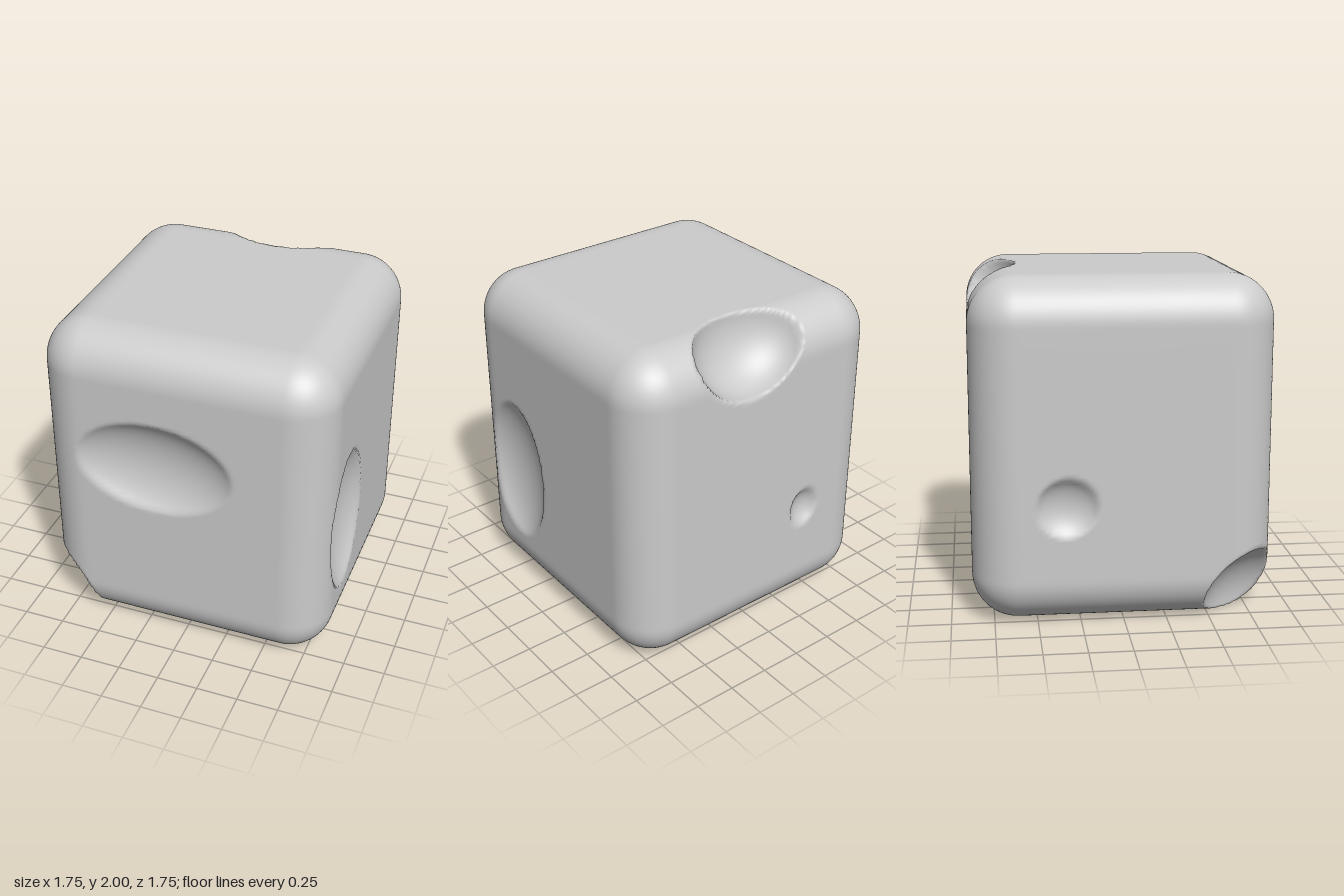
import * as THREE from 'three';
import { mergeVertices } from 'three/addons/utils/BufferGeometryUtils.js';

const HALF = new THREE.Vector3(0.875, 1, 0.875);
const RADIUS = 0.27;
const SEGMENTS = 90;

// Hollows: ellipsoid centre, ellipsoid radii, direction in which the surface is pushed
const HOLLOWS = [
  { c: [-0.15, 1.22, 0.975], r: [0.55, 0.335, 0.2], d: [0, 0, -1] },    // wide front dent
  { c: [0.975, 0.8, 0.4], r: [0.2, 0.54, 0.335], d: [-1, 0, 0] },       // tall side dent
  { c: [0.07, 1.97, -0.87], r: [0.38, 0.36, 0.29], d: [0, -1, 1] },     // scoop in top back edge
  { c: [-0.9, 0.02, 0.88], r: [0.34, 0.42, 0.44], d: [1, 1, -1] },      // scoop in lower front corner
  { c: [-0.35, 0.71, -0.925], r: [0.12, 0.145, 0.1], d: [0, 0, 1] },    // small back pit
  { c: [-0.93, 0.71, -0.33], r: [0.12, 0.19, 0.2], d: [1, 0, 0] },      // small side pit
].map(({ c, r, d }) => ({
  centre: new THREE.Vector3(...c),
  radii: new THREE.Vector3(...r),
  dir: new THREE.Vector3(...d).normalize(),
}));

// Pull a box point onto the rounded box
function roundOff(p) {
  const inner = HALF.clone().subScalar(RADIUS);
  const core = p.clone().clamp(inner.clone().negate(), inner);
  p.sub(core).normalize().multiplyScalar(RADIUS).add(core);
}

// Push a point that lies inside the ellipsoid along dir to its far wall
function carve(p, { centre, radii, dir }) {
  const o = p.clone().sub(centre).divide(radii);
  const k = o.lengthSq() - 1;
  if (k >= 0) return;
  const v = dir.clone().divide(radii);
  const a = v.lengthSq();
  const b = o.dot(v);
  p.addScaledVector(dir, (-b + Math.sqrt(b * b - a * k)) / a);
}

export function createModel() {
  let geometry = new THREE.BoxGeometry(
    HALF.x * 2, HALF.y * 2, HALF.z * 2, SEGMENTS, SEGMENTS, SEGMENTS);
  geometry.deleteAttribute('uv');
  geometry.deleteAttribute('normal');
  geometry = mergeVertices(geometry, 1e-4);

  const position = geometry.attributes.position;
  const p = new THREE.Vector3();
  for (let i = 0; i < position.count; i++) {
    p.fromBufferAttribute(position, i);
    roundOff(p);
    p.y += HALF.y;
    HOLLOWS.forEach((hollow) => carve(p, hollow));
    position.setXYZ(i, p.x, p.y, p.z);
  }
  geometry.computeVertexNormals();

  const block = new THREE.Mesh(geometry, new THREE.MeshStandardMaterial({ color: 0xcccccc }));
  block.name = 'dentedBlock';
  const group = new THREE.Group();
  group.name = 'roundedBlock';
  group.add(block);
  return group;
}
